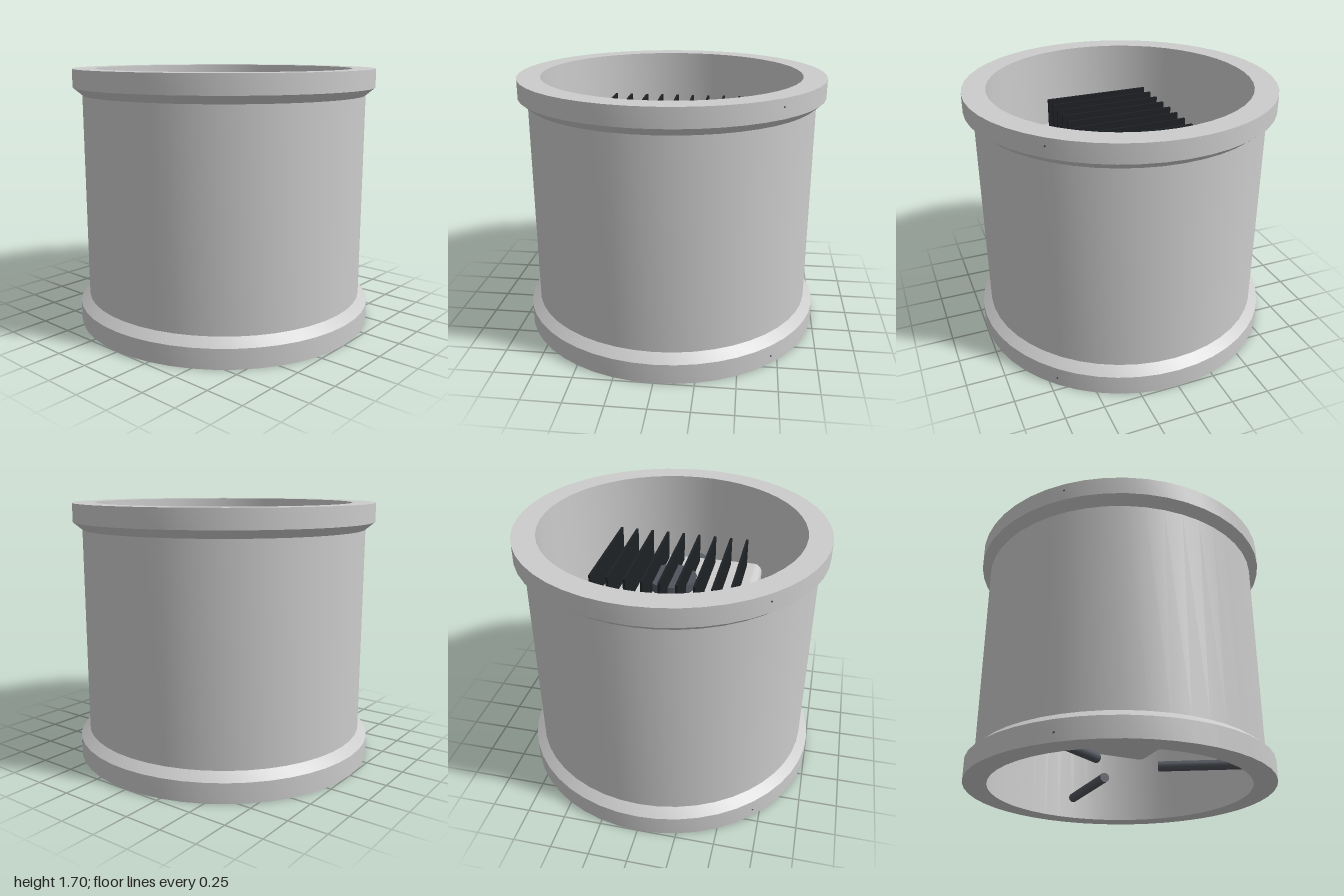
import * as THREE from 'three';
import { toCreasedNormals } from 'three/addons/utils/BufferGeometryUtils.js';
import { RoundedBoxGeometry } from 'three/addons/geometries/RoundedBoxGeometry.js';

const mat = (color) => new THREE.MeshStandardMaterial({ color });
const grey = mat(0xcccccc);
const steel = mat(0x50545c);
const black = mat(0x1e2124);

function add(parent, name, geometry, material, x = 0, y = 0, z = 0) {
  const mesh = new THREE.Mesh(geometry, material);
  mesh.name = name;
  mesh.position.set(x, y, z);
  parent.add(mesh);
  return mesh;
}

// Calls build(spoke) for count groups turned evenly about the vertical axis; local +x points outward
function radial(parent, name, count, build, start = 0) {
  for (let i = 0; i < count; i++) {
    const spoke = new THREE.Group();
    spoke.name = name;
    spoke.rotation.y = -(start + (i * Math.PI * 2) / count);
    build(spoke);
    parent.add(spoke);
  }
}

export function createModel() {
  const model = new THREE.Group();
  model.name = 'ductFan';

  // Duct with a chamfered flange at each end
  const profile = [
    [0.85, 0], [1, 0], [1, 0.13], [0.94, 0.18], [0.94, 1.53],
    [1, 1.58], [1, 1.7], [0.85, 1.7], [0.85, 0],
  ].map(([r, y]) => new THREE.Vector2(r, y));
  add(model, 'duct', toCreasedNormals(new THREE.LatheGeometry(profile, 48), 0.5), grey);

  // Tiny bolt tips in the flanges
  radial(model, 'flangeBolts', 2, (spoke) => {
    for (const y of [0.055, 1.65]) {
      const bolt = add(spoke, 'bolt', new THREE.CylinderGeometry(0.006, 0.006, 0.02, 8), steel, 0.992, y, 0);
      bolt.rotation.z = Math.PI / 2;
    }
  }, Math.PI / 4);

  // Motor housing with its terminal box
  add(model, 'motorHousing', new RoundedBoxGeometry(1.1, 0.88, 0.9, 4, 0.06), grey, 0, 0.84, 0);
  add(model, 'terminalBox', new RoundedBoxGeometry(0.4, 0.3, 0.2, 3, 0.03), black, 0, 0.9, -0.485);

  // Cooling fins
  for (let i = -4; i <= 4; i++) {
    add(model, 'coolingFin', new THREE.BoxGeometry(0.016, 0.24, 0.72), black, i * 0.11, 1.36, 0);
  }

  // Hub and seven pitched blades
  add(model, 'hub', new THREE.CylinderGeometry(0.163, 0.163, 0.5, 24), steel, 0, 1.09, 0);
  radial(model, 'fanBlade', 7, (spoke) => {
    const blade = add(spoke, 'blade', new THREE.BoxGeometry(0.66, 0.03, 0.325), steel, 0.48, 1.03, 0);
    blade.rotation.x = 0.4;
  });

  // Three support struts near the bottom
  radial(model, 'supportStrut', 3, (spoke) => {
    const strut = add(spoke, 'strut', new THREE.CylinderGeometry(0.033, 0.033, 0.62, 16), steel, 0.56, 0.15, 0);
    strut.rotation.z = Math.PI / 2;
  });

  return model;
}
